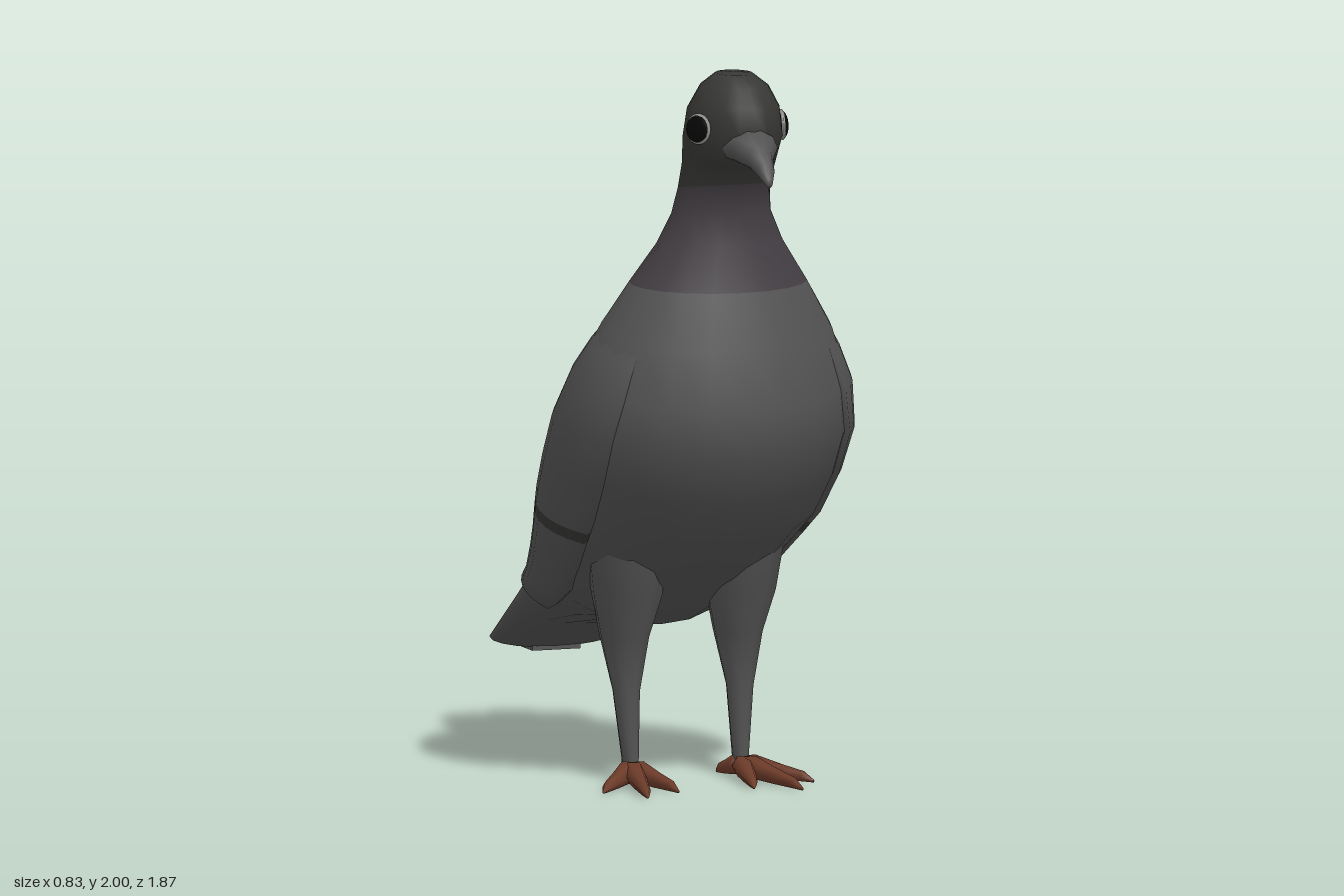
import * as THREE from 'three';

// Body sections, crown to tail: back z, back y, front z, front y, half width
const SECTIONS = [
  [0.60, 2.00, 0.72, 2.00, 0.05], [0.545, 1.965, 0.78, 1.97, 0.09],
  [0.49, 1.89, 0.815, 1.92, 0.122], [0.475, 1.82, 0.825, 1.84, 0.132],
  [0.455, 1.73, 0.78, 1.765, 0.124], [0.44, 1.66, 0.72, 1.70, 0.124],
  [0.42, 1.59, 0.692, 1.62, 0.135], [0.395, 1.51, 0.695, 1.53, 0.175],
  [0.35, 1.42, 0.72, 1.40, 0.25], [0.29, 1.33, 0.76, 1.24, 0.325],
  [0.20, 1.23, 0.785, 1.07, 0.378], [0.10, 1.12, 0.77, 0.95, 0.405],
  [0.02, 1.04, 0.69, 0.81, 0.40], [-0.05, 0.97, 0.57, 0.68, 0.385],
  [-0.12, 0.90, 0.42, 0.58, 0.36], [-0.20, 0.82, 0.25, 0.47, 0.325],
  [-0.30, 0.72, 0.08, 0.40, 0.28], [-0.46, 0.56, -0.25, 0.365, 0.21],
  [-0.60, 0.45, -0.52, 0.32, 0.183], [-0.76, 0.30, -0.75, 0.225, 0.19],
  [-0.81, 0.275, -0.81, 0.222, 0.14],
];

const material = (color) => new THREE.MeshStandardMaterial({ color });
const MAT = {
  head: material(0x383836), neck: material(0x443f44), body: material(0x545454),
  band: material(0x383836), beak: material(0x525252), foot: material(0x6e3c2a),
  eye: material(0x080808), rim: material(0x9a9a96),
};

function addMesh(parent, name, geometry, mat) {
  const mesh = new THREE.Mesh(geometry, mat);
  mesh.name = name;
  parent.add(mesh);
  return mesh;
}

// Point on the body: t = section position, a = angle from spine (0) over the side to belly (PI)
function bodyPoint(t, a, offset = 0, scale = 1) {
  const i = Math.min(Math.floor(t), SECTIONS.length - 2);
  const [bz, by, fz, fy, w] = SECTIONS[i].map((v, k) => THREE.MathUtils.lerp(v, SECTIONS[i + 1][k], t - i));
  const hz = (bz - fz) / 2, hy = (by - fy) / 2;
  const k = scale * (1 + offset / Math.hypot(hz, hy)) * Math.cos(a);
  return [Math.sin(a) * (w + offset) * scale, (by + fy) / 2 + hy * k, (bz + fz) / 2 + hz * k];
}

// Skin over rows of points; optional parts share smooth normals but get their own mesh
function skin(rows, closed, flip = false) {
  const n = rows[0].length;
  const faces = (from, to) => {
    const index = [];
    for (let i = from; i < to; i++) {
      for (let j = 0; j < (closed ? n : n - 1); j++) {
        const a = i * n + j, b = i * n + (j + 1) % n, c = a + n, d = b + n;
        if (flip) index.push(a, c, b, b, c, d);
        else index.push(a, b, c, b, d, c);
      }
    }
    return index;
  };
  const whole = new THREE.BufferGeometry();
  whole.setAttribute('position', new THREE.Float32BufferAttribute(rows.flat(2), 3));
  whole.setIndex(faces(0, rows.length - 1));
  whole.computeVertexNormals();
  const slice = (from, to) => {
    const part = whole.clone();
    part.setIndex(faces(from, to));
    return part;
  };
  return { whole, slice };
}

// Tapered tube: each ring is centre, side axis and up axis
function tube(rings, sides) {
  return skin(rings.map(({ c, s, u }) => Array.from({ length: sides }, (_, j) => {
    const a = (j / sides) * Math.PI * 2;
    return c.map((v, k) => v + s[k] * Math.cos(a) + u[k] * Math.sin(a));
  })), true).whole;
}

function buildBody(group) {
  const N = 20, last = SECTIONS.length - 1;
  const ring = (t, scale) => Array.from({ length: N }, (_, j) => bodyPoint(t, (j / N) * Math.PI * 2, 0, scale));
  const rows = [ring(0, 0), ...SECTIONS.map((_, i) => ring(i, 1)), ring(last, 0)];
  const { slice } = skin(rows, true);
  addMesh(group, 'head', slice(0, 6), MAT.head);
  addMesh(group, 'neck', slice(6, 9), MAT.neck);
  addMesh(group, 'body', slice(9, rows.length - 1), MAT.body);

  // Pointed middle feather at the end of the tail
  const shape = new THREE.Shape([[-0.07, 0.74], [0.07, 0.74], [0.07, 0.88], [0, 0.93], [-0.07, 0.88]]
    .map(([x, y]) => new THREE.Vector2(x, y)));
  const feather = new THREE.ExtrudeGeometry(shape, { depth: 0.03, bevelEnabled: false });
  feather.rotateX(-Math.PI / 2);
  addMesh(group, 'tailFeather', feather, MAT.body).position.y = 0.218;
}

function buildWing(group, side, label) {
  // Row position along the body, sweep of the row, lift above the body
  const rows = [[9, 0, -0.01], [9.4, 0.05, 0.004], [10, 0.15, 0.012], [11, 0.4, 0.014], [12, 0.7, 0.014],
    [13, 0.95, 0.014], [13.4, 1, 0.014], [13.75, 1, 0.014], [14.6, 0.9, 0.015], [15.6, 0.6, 0.018],
    [16.5, 0.4, 0.02], [17, 0.3, 0.02], [17.03, 0.3, -0.02]];
  const cols = 12, a0 = 0.32, a1 = 2.15;
  const points = rows.map(([t, sweep, lift]) => Array.from({ length: cols + 3 }, (_, j) => {
    const edge = j === 0 || j === cols + 2;
    const v = THREE.MathUtils.clamp((j - 1) / cols, 0, 1);
    const [x, y, z] = bodyPoint(t + 1.2 * sweep * Math.sin(Math.PI * Math.sqrt(v)),
      a0 + (a1 - a0) * v, edge ? -0.01 : lift);
    return [x * side, y, z];
  }));
  const { slice } = skin(points, false, side < 0);
  const wing = new THREE.Group();
  wing.name = label + 'Wing';
  addMesh(wing, 'wingFront', slice(0, 6), MAT.body);
  addMesh(wing, 'wingBand', slice(6, 7), MAT.band);
  addMesh(wing, 'wingRear', slice(7, rows.length - 1), MAT.body);
  group.add(wing);
}

function buildLeg(group, side, label) {
  // Thigh tapering to the ankle: y, x, z, half width, half depth
  const leg = [[0.68, 0.17, 0.27, 0.11, 0.16], [0.52, 0.165, 0.26, 0.095, 0.125], [0.40, 0.165, 0.24, 0.066, 0.09],
    [0.25, 0.165, 0.257, 0.038, 0.042], [0.06, 0.16, 0.275, 0.022, 0.032], [0.02, 0.16, 0.275, 0.022, 0.03]];
  const limb = new THREE.Group();
  limb.name = label + 'Leg';
  addMesh(limb, 'leg', tube(leg.map(([y, x, z, rx, rz]) =>
    ({ c: [x * side, y, z], s: [rx, 0, 0], u: [0, 0, rz] })), 10), MAT.body);

  // Three forward toes and one short hind toe
  const ankle = [0.16, 0.285];
  for (const [tx, tz] of [[0.305, 0.46], [0.225, 0.59], [0.11, 0.52], [0.125, 0.185]]) {
    const dx = tx - ankle[0], dz = tz - ankle[1], len = Math.hypot(dx, dz);
    const rings = [[-0.06, 0.03, 0], [-0.06, 0.035, 0.022], [0.15, 0.034, 0.032], [0.55, 0.022, 0.022],
      [0.85, 0.015, 0.015], [1, 0.004, 0.004], [1, 0.004, 0]];
    addMesh(limb, 'toe', tube(rings.map(([f, y, r]) => ({
      c: [(ankle[0] + dx * f) * side, y, ankle[1] + dz * f],
      s: [(dz / len) * r, 0, (-dx * side / len) * r], u: [0, r, 0],
    })), 6), MAT.foot);
  }
  group.add(limb);
}

function buildFace(group) {
  // Hooked beak: z, y, half width, half height
  const beak = [[0.74, 1.815, 0.085, 0.05], [0.82, 1.812, 0.068, 0.05], [0.87, 1.788, 0.036, 0.036],
    [0.915, 1.76, 0.024, 0.027], [0.938, 1.732, 0.01, 0.013], [0.938, 1.73, 0, 0]];
  addMesh(group, 'beak', tube(beak.map(([z, y, rx, ry]) =>
    ({ c: [0, y, z], s: [rx, 0, 0], u: [0, ry, 0] })), 10), MAT.beak);

  for (const side of [1, -1]) {
    const eye = new THREE.Group();
    eye.name = side > 0 ? 'leftEye' : 'rightEye';
    const ball = new THREE.SphereGeometry(1, 16, 10);
    addMesh(eye, 'eyeball', ball, MAT.eye).scale.set(0.018, 0.039, 0.054);
    addMesh(eye, 'eyeRim', ball, MAT.rim).scale.set(0.011, 0.043, 0.058);
    eye.position.set(side * 0.121, 1.857, 0.708);
    eye.rotation.set(-0.15, -side * 0.25, 0);
    group.add(eye);
  }
}

export function createModel() {
  const group = new THREE.Group();
  group.name = 'bird';
  buildBody(group);
  buildFace(group);
  for (const [side, label] of [[1, 'left'], [-1, 'right']]) {
    buildWing(group, side, label);
    buildLeg(group, side, label);
  }
  return group;
}
